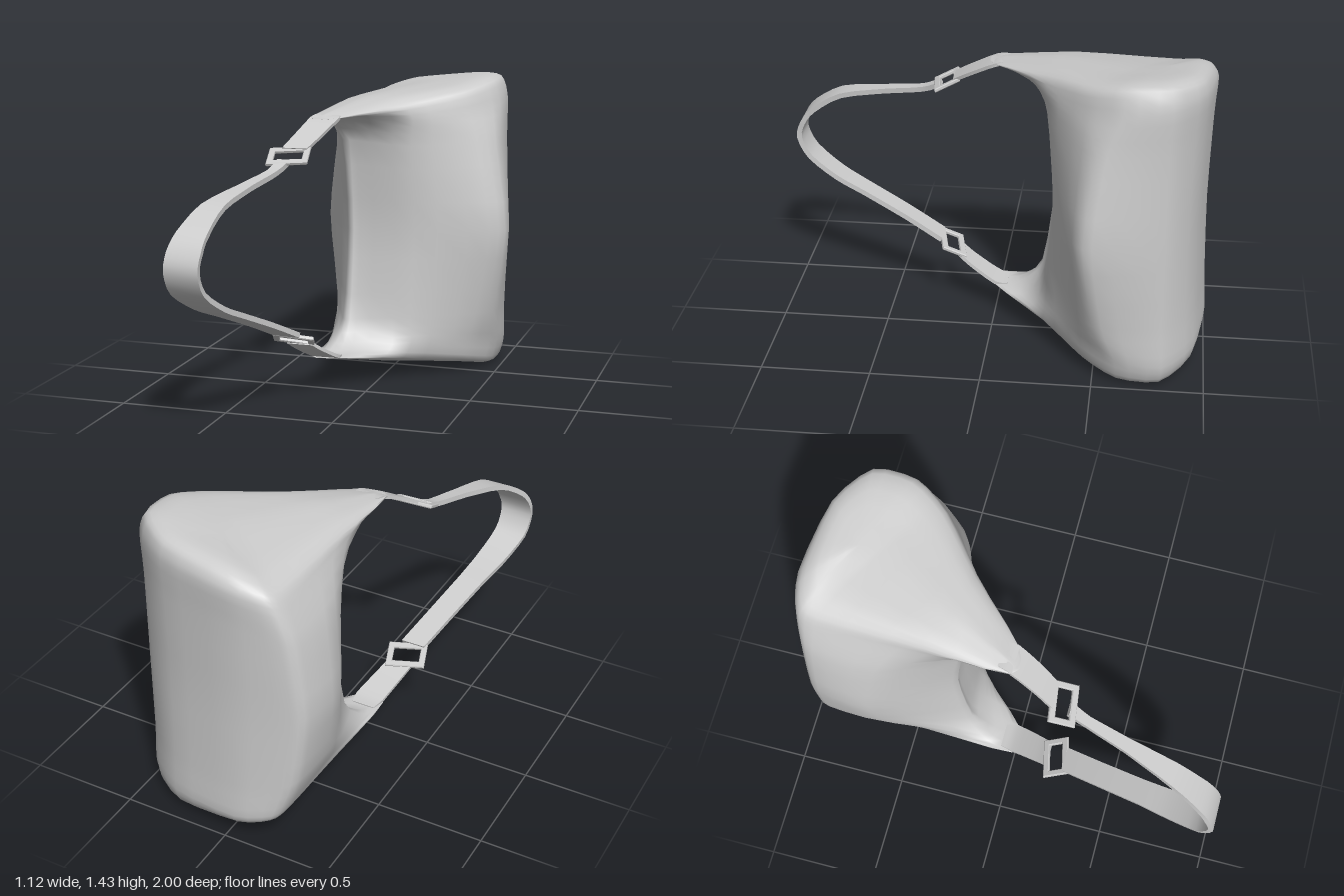
import * as THREE from 'three';
import { mergeVertices, toCreasedNormals } from 'three/addons/utils/BufferGeometryUtils.js';

const material = new THREE.MeshStandardMaterial({ color: 0xcccccc, side: THREE.DoubleSide });
const MID_Y = 0.717;

// Skin a grid of rows (each a closed loop of Vector3) into a surface.
function skin(rows) {
  const n = rows[0].length;
  const positions = [], index = [];
  rows.forEach(row => row.forEach(p => positions.push(p.x, p.y, p.z)));
  for (let i = 0; i < rows.length - 1; i++) {
    for (let j = 0; j < n; j++) {
      const a = i * n + j, d = i * n + (j + 1) % n;
      const b = a + n, c = d + n;
      index.push(a, b, c, a, c, d);
    }
  }
  const geometry = new THREE.BufferGeometry();
  geometry.setAttribute('position', new THREE.Float32BufferAttribute(positions, 3));
  geometry.setIndex(index);
  const merged = mergeVertices(geometry, 1e-4);
  merged.computeVertexNormals();
  return merged;
}

function addMesh(group, name, geometry) {
  const mesh = new THREE.Mesh(geometry, material);
  mesh.name = name;
  group.add(mesh);
  return mesh;
}

// Smooth samples through key points, a fixed count per span.
function smooth(points, closed, tension = 0.35, steps = 3) {
  const curve = new THREE.CatmullRomCurve3(points, closed, 'catmullrom', tension);
  const spans = closed ? points.length : points.length - 1;
  const count = spans * steps + (closed ? 0 : 1);
  return Array.from({ length: count }, (_, i) => curve.getPoint(i / (spans * steps)));
}

// Cross-sections of the upper half, as [x, z, height above the middle]:
// mouth left, mouth right, front, front corner (2), back (3), left back (2), left side.
const waist = [
  [-0.18, -0.30, 0], [-0.12, -0.29, 0], [0.15, -0.292, 0], [0.49, -0.40, 0], [0.56, -0.49, 0], [0.475, -0.80, 0],
  [0.28, -0.93, 0], [-0.05, -0.98, 0], [-0.31, -0.94, 0], [-0.37, -0.88, 0], [-0.385, -0.65, 0]];
const shoulder = [
  [-0.19, -0.245, 0.43], [-0.12, -0.24, 0.43], [0.14, -0.27, 0.41], [0.42, -0.43, 0.41], [0.505, -0.54, 0.41], [0.475, -0.80, 0.41],
  [0.28, -0.94, 0.41], [-0.05, -0.99, 0.41], [-0.27, -0.95, 0.37], [-0.33, -0.88, 0.34], [-0.335, -0.60, 0.34]];
const wing = [
  [-0.24, -0.125, 0.555], [-0.11, -0.13, 0.555], [0.15, -0.262, 0.53], [0.38, -0.44, 0.55], [0.485, -0.60, 0.58], [0.475, -0.81, 0.61],
  [0.28, -0.95, 0.60], [-0.05, -1.00, 0.58], [-0.22, -0.96, 0.54], [-0.27, -0.87, 0.51], [-0.265, -0.50, 0.52]];
const rim = [
  [-0.265, 0, 0.562], [-0.13, 0, 0.562], [0.12, -0.25, 0.60], [0.35, -0.45, 0.65], [0.45, -0.61, 0.69], [0.445, -0.80, 0.70],
  [0.27, -0.93, 0.675], [-0.05, -0.97, 0.635], [-0.19, -0.94, 0.595], [-0.23, -0.86, 0.575], [-0.25, -0.40, 0.575]];

// Straight fold along the middle of the cap, and where each column meets it
const spine = [[-0.19, -0.05, 0.582], [-0.08, -0.30, 0.635], [0.1, -0.65, 0.67], [0.1, -0.76, 0.675]];
const ridge = [0, 0, 1, 2, 3, 3, 3, 3, 3, 2, 1].map(i => spine[i]);

function bagBody() {
  const crown = rim.map((p, i) => p.map((v, k) => THREE.MathUtils.lerp(v, ridge[i][k], 0.3) + (k === 2 && i > 1 ? 0.02 : 0)));
  const place = (ring, sign) => smooth(
    ring.map(([x, z, h]) => new THREE.Vector3(x, MID_Y + sign * h, z)), true, ring === ridge ? 0 : 0.35);
  const upper = [ridge, crown, rim, wing, shoulder];
  const loops = [
    ...upper.map(r => place(r, 1)),
    place(waist, 1),
    ...upper.slice().reverse().map(r => place(r, -1))];
  // Smooth every column from top to bottom as well.
  const columns = loops[0].map((_, j) => smooth(loops.map(l => l[j]), false));
  return skin(columns[0].map((_, i) => columns.map(c => c[i])));
}

// Flat band through stations [x, y, z, half width], with its width along x.
function band(stations, thickness) {
  const steps = 3;
  const centres = smooth(stations.map(s => new THREE.Vector3(s[0], s[1], s[2])), false, 0.45, steps);
  const last = centres.length - 1;
  const rows = centres.map((c, i) => {
    const t = centres[Math.min(i + 1, last)].clone().sub(centres[Math.max(i - 1, 0)]);
    const n = new THREE.Vector3(0, t.z, -t.y).normalize().multiplyScalar(thickness / 2);
    const k = Math.min(Math.floor(i / steps), stations.length - 2);
    const w = THREE.MathUtils.lerp(stations[k][3], stations[k + 1][3], i / steps - k);
    const corner = (side, face) => c.clone().addScaledVector(n, face).add(new THREE.Vector3(side * w, 0, 0));
    return [corner(-1, 1), corner(1, 1), corner(1, -1), corner(-1, -1)];
  });
  // Close both ends.
  const cap = c => Array.from({ length: 4 }, () => c.clone());
  return toCreasedNormals(skin([cap(centres[0]), ...rows, cap(centres[last])]), 0.7);
}

function buckleGeometry() {
  const rect = (path, w, h) => path.moveTo(-w, -h).lineTo(w, -h).lineTo(w, h).lineTo(-w, h).closePath();
  const shape = rect(new THREE.Shape(), 0.09, 0.06);
  shape.holes.push(rect(new THREE.Path(), 0.07, 0.038));
  return new THREE.ExtrudeGeometry(shape, {
    depth: 0.01, bevelEnabled: true, bevelSize: 0.004, bevelThickness: 0.004, bevelSegments: 1
  }).translate(0, 0, -0.005);
}

export function createModel() {
  const bag = new THREE.Group();
  bag.name = 'shoulderBag';
  addMesh(bag, 'body', bagBody());

  // Short bands from the body to the buckles
  addMesh(bag, 'upperStrapEnd', band([
    [-0.19, 1.285, -0.06, 0.055], [-0.195, 1.275, 0, 0.068], [-0.235, 1.21, 0.12, 0.063], [-0.27, 1.16, 0.2, 0.058]], 0.016));
  addMesh(bag, 'lowerStrapEnd', band([
    [-0.19, 0.15, -0.06, 0.055], [-0.195, 0.162, 0, 0.068], [-0.235, 0.225, 0.12, 0.063], [-0.26, 0.265, 0.18, 0.06]], 0.016));

  // Shoulder strap between the buckles, gathered narrow at its upper end
  addMesh(bag, 'shoulderStrap', band([
    [-0.295, 1.115, 0.27, 0.03], [-0.32, 1.075, 0.36, 0.024], [-0.37, 1.04, 0.55, 0.032],
    [-0.43, 0.99, 0.77, 0.054], [-0.465, 0.90, 0.91, 0.07], [-0.48, 0.83, 0.965, 0.077],
    [-0.487, 0.75, 0.986, 0.077], [-0.48, 0.65, 0.935, 0.075], [-0.44, 0.56, 0.80, 0.068],
    [-0.40, 0.50, 0.66, 0.06], [-0.34, 0.41, 0.45, 0.058], [-0.285, 0.325, 0.27, 0.058]], 0.024));

  // Buckles
  const frame = buckleGeometry();
  const upper = addMesh(bag, 'upperBuckle', frame);
  upper.position.set(-0.285, 1.135, 0.24);
  upper.rotation.set(-1.12, 0, 0.15);
  const lower = addMesh(bag, 'lowerBuckle', frame);
  lower.position.set(-0.275, 0.292, 0.22);
  lower.rotation.set(1.08, 0, -0.25);
  return bag;
}
